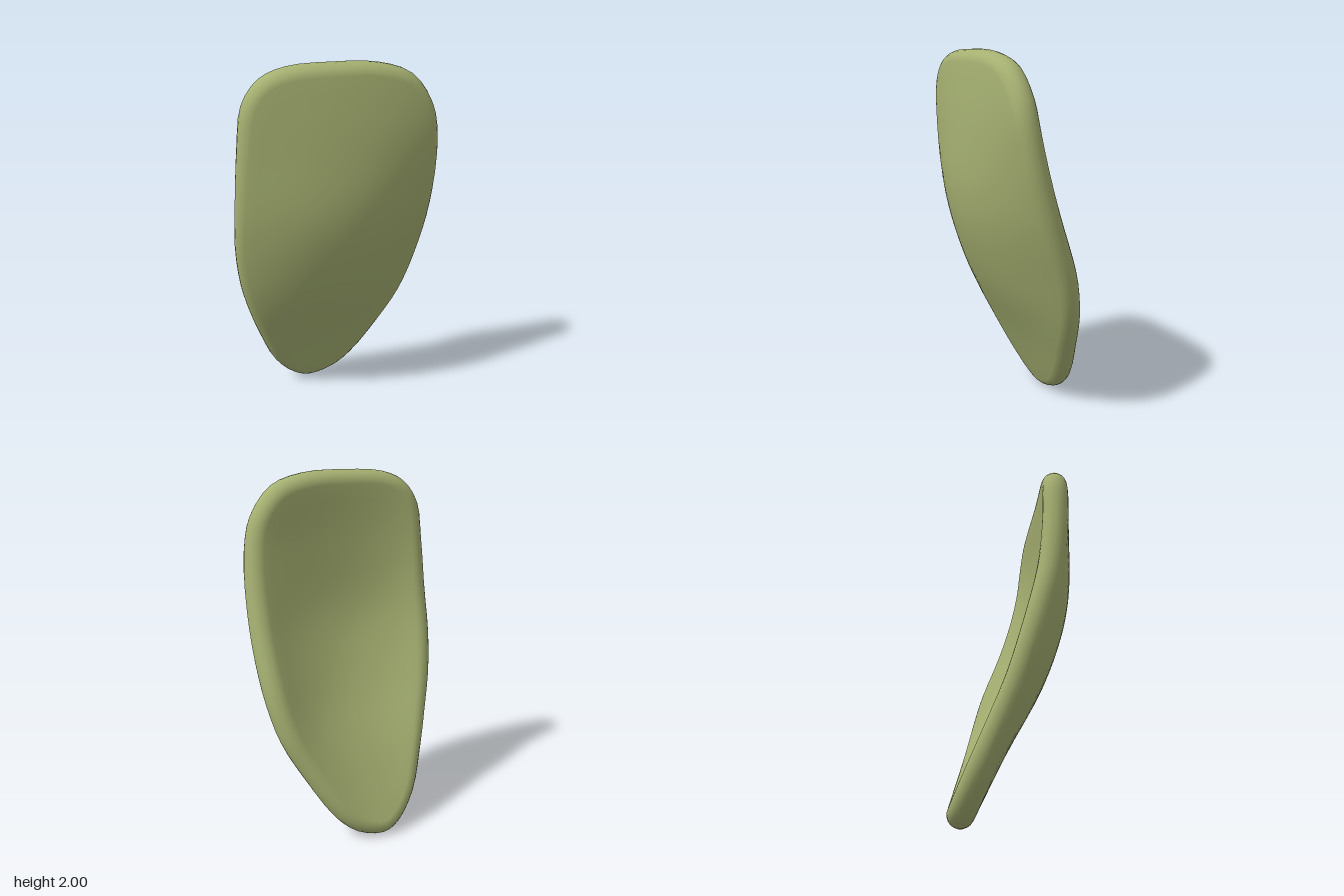
import * as THREE from 'three';

const HALF = 0.07; // half the plate thickness, also the rim radius
const CENTRE = new THREE.Vector2(-0.02, 1.08);

// Plate outline seen from the front, counter-clockwise
const OUTLINE = [
  [0.549, 1.3], [0.535, 1.6], [0.49, 1.78], [0.37, 1.93], [0.19, 1.99], [-0.05, 2], [-0.28, 1.985],
  [-0.41, 1.93], [-0.495, 1.81], [-0.525, 1.6], [-0.545, 1.3], [-0.551, 1.05], [-0.525, 0.8], [-0.475, 0.6],
  [-0.41, 0.4], [-0.32, 0.18], [-0.2, 0.04], [-0.1, 0], [0.05, 0.04], [0.17, 0.14], [0.34, 0.4],
  [0.445, 0.6], [0.505, 0.8], [0.538, 1.03],
];

// Middle surface every 0.4 in height: z = c + s * x - k * x * x
const BOW = [
  [-0.295, -0.16, 0.4], [-0.109, -0.187, 0.43], [0.099, -0.19, 0.61],
  [0.2245, -0.131, 0.535], [0.235, -0.076, 0.28], [0.205, -0.08, 0.12],
];
const bowCurve = new THREE.CatmullRomCurve3(
  BOW.map((row) => new THREE.Vector3(...row)), false, 'catmullrom', 0.5);

function bow(x, y) {
  const { x: c, y: s, z: k } = bowCurve.getPoint(THREE.MathUtils.clamp(y / 2, 0, 1));
  return c + s * x - k * x * x;
}

function bowNormal(x, y) {
  const e = 0.01;
  return new THREE.Vector3(
    (bow(x - e, y) - bow(x + e, y)) / (2 * e),
    (bow(x, y - e) - bow(x, y + e)) / (2 * e), 1).normalize();
}

function makePlate() {
  const outline = new THREE.CatmullRomCurve3(
    OUTLINE.map(([x, y]) => new THREE.Vector3(x, y, 0)), true, 'centripetal');
  const segments = 72;

  // Centre line of the rounded rim, set in from the outline
  const inner = [];
  for (let j = 0; j < segments; j++) {
    const p = outline.getPoint(j / segments);
    const t = outline.getTangent(j / segments);
    const x = p.x - t.y * HALF, y = p.y + t.x * HALF;
    inner.push(new THREE.Vector3(x, y, bow(x, y)));
  }

  const positions = [];
  const addFacePoint = (f, q, lift) => {
    const x = THREE.MathUtils.lerp(CENTRE.x, q.x, f);
    const y = THREE.MathUtils.lerp(CENTRE.y, q.y, f);
    const p = new THREE.Vector3(x, y, bow(x, y)).addScaledVector(bowNormal(x, y), lift);
    positions.push(...p);
  };
  const addRimPoint = (j, angle) => {
    const q = inner[j];
    const normal = bowNormal(q.x, q.y);
    const along = inner[(j + 1) % segments].clone().sub(inner[(j + segments - 1) % segments]);
    const out = along.cross(normal).normalize();
    const p = q.clone().addScaledVector(out, HALF * Math.cos(angle));
    positions.push(...p.addScaledVector(normal, HALF * Math.sin(angle)));
  };

  // Rings from the front centre, round the rim, to the back centre
  const steps = 10;
  addFacePoint(0, CENTRE, HALF);
  for (let i = 1; i <= steps; i++) inner.forEach((q) => addFacePoint(i / steps, q, HALF));
  for (let i = 1; i < steps; i++) inner.forEach((q, j) => addRimPoint(j, (0.5 - i / steps) * Math.PI));
  for (let i = steps; i >= 1; i--) inner.forEach((q) => addFacePoint(i / steps, q, -HALF));
  addFacePoint(0, CENTRE, -HALF);

  // Bands between rings, closed by a fan at each centre
  const index = [];
  const rings = 3 * steps - 1;
  const last = positions.length / 3 - 1;
  const at = (ring, j) => 1 + ring * segments + (j % segments);
  for (let j = 0; j < segments; j++) {
    index.push(0, at(0, j), at(0, j + 1));
    for (let r = 0; r < rings - 1; r++) {
      const a = at(r, j), b = at(r + 1, j), c = at(r + 1, j + 1), d = at(r, j + 1);
      index.push(a, b, c, a, c, d);
    }
    index.push(at(rings - 1, j), last, at(rings - 1, j + 1));
  }

  const geometry = new THREE.BufferGeometry();
  geometry.setAttribute('position', new THREE.Float32BufferAttribute(positions, 3));
  geometry.setIndex(index);
  geometry.computeVertexNormals();
  return geometry;
}

export function createModel() {
  const group = new THREE.Group();
  group.name = 'curvedPlate';
  const plate = new THREE.Mesh(makePlate(), new THREE.MeshStandardMaterial({ color: 0xa5b071 }));
  plate.name = 'plate';
  group.add(plate);
  return group;
}
